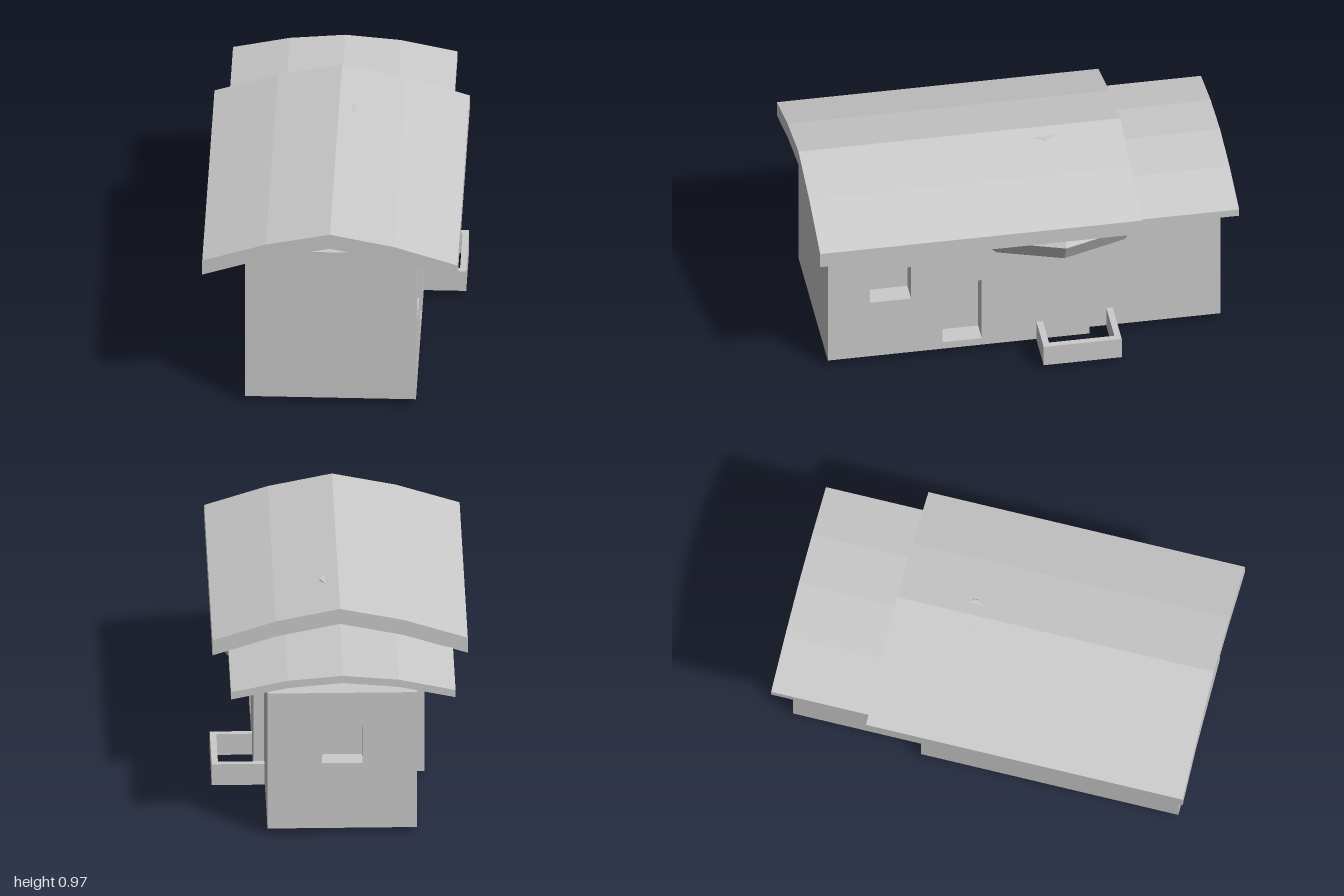
import * as THREE from 'three';

const material = new THREE.MeshStandardMaterial({ color: 0xcccccc, flatShading: true });
const smooth = new THREE.MeshStandardMaterial({ color: 0xcccccc });

function add(parent, name, geometry, x = 0, y = 0, z = 0, mat = material) {
  const mesh = new THREE.Mesh(geometry, mat);
  mesh.name = name;
  mesh.position.set(x, y, z);
  parent.add(mesh);
  return mesh;
}

// Box given by its two opposite corners
function block(parent, name, [x0, y0, z0], [x1, y1, z1]) {
  return add(parent, name, new THREE.BoxGeometry(x1 - x0, y1 - y0, z1 - z0),
    (x0 + x1) / 2, (y0 + y1) / 2, (z0 + z1) / 2);
}

function rectangle(Kind, u0, v0, u1, v1) {
  return new Kind([[u0, v0], [u1, v0], [u1, v1], [u0, v1]].map(p => new THREE.Vector2(...p)));
}

// Wall panel pierced by rectangular openings
function wallGeometry(outline, openings, depth) {
  const shape = rectangle(THREE.Shape, ...outline);
  openings.forEach(o => shape.holes.push(rectangle(THREE.Path, ...o)));
  return new THREE.ExtrudeGeometry(shape, { depth, bevelEnabled: false });
}

// Bent roof slab: half profile of the top edge, mirrored, with constant thickness
function roof(parent, name, half, thickness, z0, z1, x = 0) {
  const top = [...half.slice(1).reverse().map(([px, py]) => [-px, py]), ...half];
  const bottom = top.map(([px, py]) => [px, py - thickness]).reverse();
  const shape = new THREE.Shape([...top, ...bottom].map(p => new THREE.Vector2(...p)));
  add(parent, name, new THREE.ExtrudeGeometry(shape, { depth: z1 - z0, bevelEnabled: false }), x, 0, z0);
}

export function createModel() {
  const model = new THREE.Group();
  model.name = 'house';
  const base = 0.037, recess = 0.1;

  // Main house, with a window and a door recessed into the +x wall
  block(model, 'mainBody', [-0.4, base, -0.31], [0.4 - recess, 0.833, 0.93]);
  const side = wallGeometry([-0.93, base, 0.31, 0.833],
    [[-0.73, 0.35, -0.535, 0.535], [-0.385, 0.075, -0.2, 0.415]], recess);
  add(model, 'doorWall', side, 0.4 - recess).rotation.y = Math.PI / 2;

  // Lower rear wing, with a window in the back wall
  block(model, 'rearBody', [-0.35, base, -0.94 + recess], [0.35, 0.73, -0.31]);
  add(model, 'rearWall', wallGeometry([-0.35, base, 0.35, 0.73],
    [[-0.095, 0.37, 0.095, 0.555]], recess), 0, 0, -0.94);

  // Roofs
  roof(model, 'mainRoof', [[0, 0.972], [0.3, 0.911], [0.597, 0.817]], 0.077, -0.525, 1);
  roof(model, 'rearRoof', [[0, 0.845], [0.26, 0.822], [0.525, 0.766]], 0.037, -1, -0.31, -0.003);

  // Hexagonal-section ring passing through the walls under the eaves
  const ring = new THREE.TorusGeometry(0.46, 0.115, 6, 10);
  ring.rotateX(Math.PI / 2);
  add(model, 'eavesRing', ring, 0.01, 0.69, -0.17);

  // Tapered flue just breaking through the roof
  add(model, 'flue', new THREE.CylinderGeometry(0.075, 0.165, 0.14, 8), 0.01, 0.89, -0.16);

  // Square banded frame beside the rear corner
  const frame = new THREE.Group();
  frame.name = 'sideFrame';
  frame.position.set(0.413, 0, -0.245);
  model.add(frame);
  for (const s of [-1, 1]) {
    block(frame, 'frameEnd', [-0.185, 0.03, s * 0.17 - 0.015], [0.185, 0.137, s * 0.17 + 0.015]);
    block(frame, 'frameSide', [s * 0.17 - 0.015, 0.03, -0.155], [s * 0.17 + 0.015, 0.137, 0.155]);
  }

  // Shallow disc under the floor with a small tilted wedge below it
  add(model, 'baseDisc', new THREE.CylinderGeometry(0.317, 0.317, 0.03, 9), -0.002, 0.036, -0.08, smooth);
  const wedge = new THREE.Shape([[-0.01, 0.002], [0.09, 0.002], [0.15, 0.022], [-0.01, 0.022]]
    .map(p => new THREE.Vector2(...p)));
  add(model, 'baseWedge', new THREE.ExtrudeGeometry(wedge, { depth: 0.13, bevelEnabled: false }), 0, 0, 0.01);

  return model;
}
